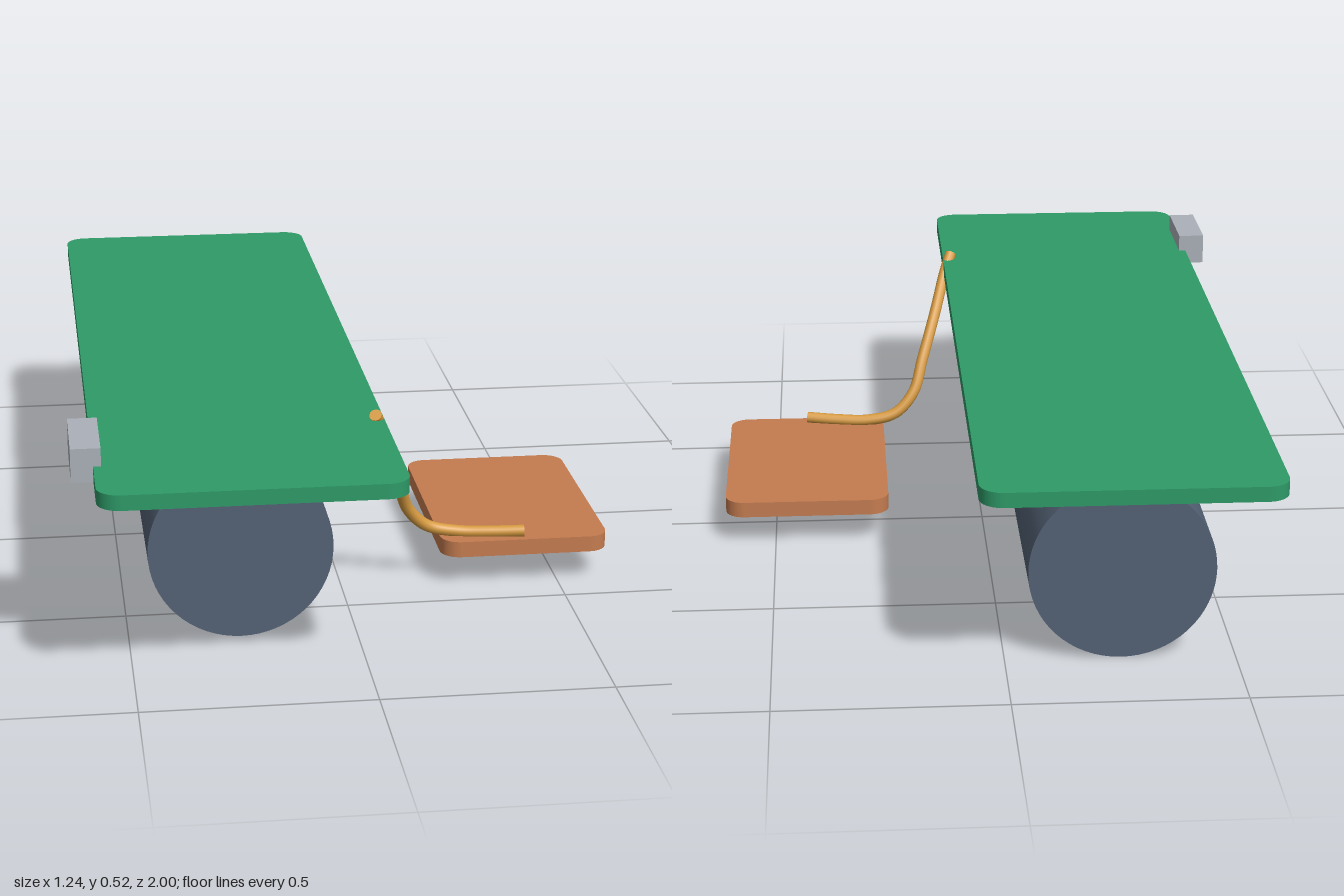
import * as THREE from 'three';

const mat = (name, color, side = THREE.FrontSide) => {
  const m = new THREE.MeshStandardMaterial({ color, side });
  m.name = name;
  return m;
};

// Flat horizontal plate with rounded corners
function roundedPlate(x0, x1, z0, z1, y0, y1, r) {
  const s = new THREE.Shape();
  const a = -z1, b = -z0;
  s.absarc(x1 - r, a + r, r, -Math.PI / 2, 0);
  s.absarc(x1 - r, b - r, r, 0, Math.PI / 2);
  s.absarc(x0 + r, b - r, r, Math.PI / 2, Math.PI);
  s.absarc(x0 + r, a + r, r, Math.PI, Math.PI * 1.5);
  s.closePath();
  const g = new THREE.ExtrudeGeometry(s, { depth: y1 - y0, bevelEnabled: false, curveSegments: 8 });
  return g.rotateX(-Math.PI / 2).translate(0, y0, 0);
}

export function createModel() {
  const group = new THREE.Group();
  const add = (name, geometry, material) => {
    const mesh = new THREE.Mesh(geometry, material);
    mesh.name = name;
    group.add(mesh);
    return mesh;
  };
  const green = mat('board green', 0x2e9a68);
  const slate = mat('slate', 0x536174);
  const copper = mat('copper', 0xc47c50);
  const amber = mat('wire amber', 0xd69a40);
  const grey = mat('metal grey', 0xabb0b8);

  // Long circuit board and small side plate
  add('circuitBoard', roundedPlate(-0.572, 0.065, -1, 1, 0.443, 0.476, 0.05), green);
  add('sidePlate', roundedPlate(0.23, 0.617, -0.137, 0.42, 0.071, 0.108, 0.045), copper);

  // Cylindrical battery lying below the board
  const cell = new THREE.CylinderGeometry(0.2025, 0.2025, 1.43, 64);
  cell.rotateX(Math.PI / 2);
  add('batteryCell', cell, slate).position.set(-0.253, 0.2025, -0.075);

  // Connector on the board's edge
  add('connector', new THREE.BoxGeometry(0.063, 0.073, 0.195), grey).position.set(-0.587, 0.479, 0.7275);

  // Wire from board to side plate
  const path = new THREE.CatmullRomCurve3([
    [0.045, 0.487, 0.604], [0.062, 0.448, 0.57], [0.092, 0.36, 0.495],
    [0.127, 0.26, 0.428], [0.152, 0.185, 0.391], [0.2, 0.135, 0.373],
    [0.27, 0.118, 0.372], [0.35, 0.117, 0.383], [0.423, 0.12, 0.395],
  ].map((p) => new THREE.Vector3(...p)));
  const radius = 0.014;
  add('wire', new THREE.TubeGeometry(path, 64, radius, 12), amber);

  // Flat wire ends
  for (const [t, sign] of [[0, -1], [1, 1]]) {
    const cap = add('wireEnd', new THREE.CircleGeometry(radius, 12), amber);
    const p = path.getPointAt(t);
    cap.position.copy(p);
    cap.quaternion.setFromUnitVectors(new THREE.Vector3(0, 0, 1), path.getTangentAt(t).multiplyScalar(sign));
  }
  return group;
}
